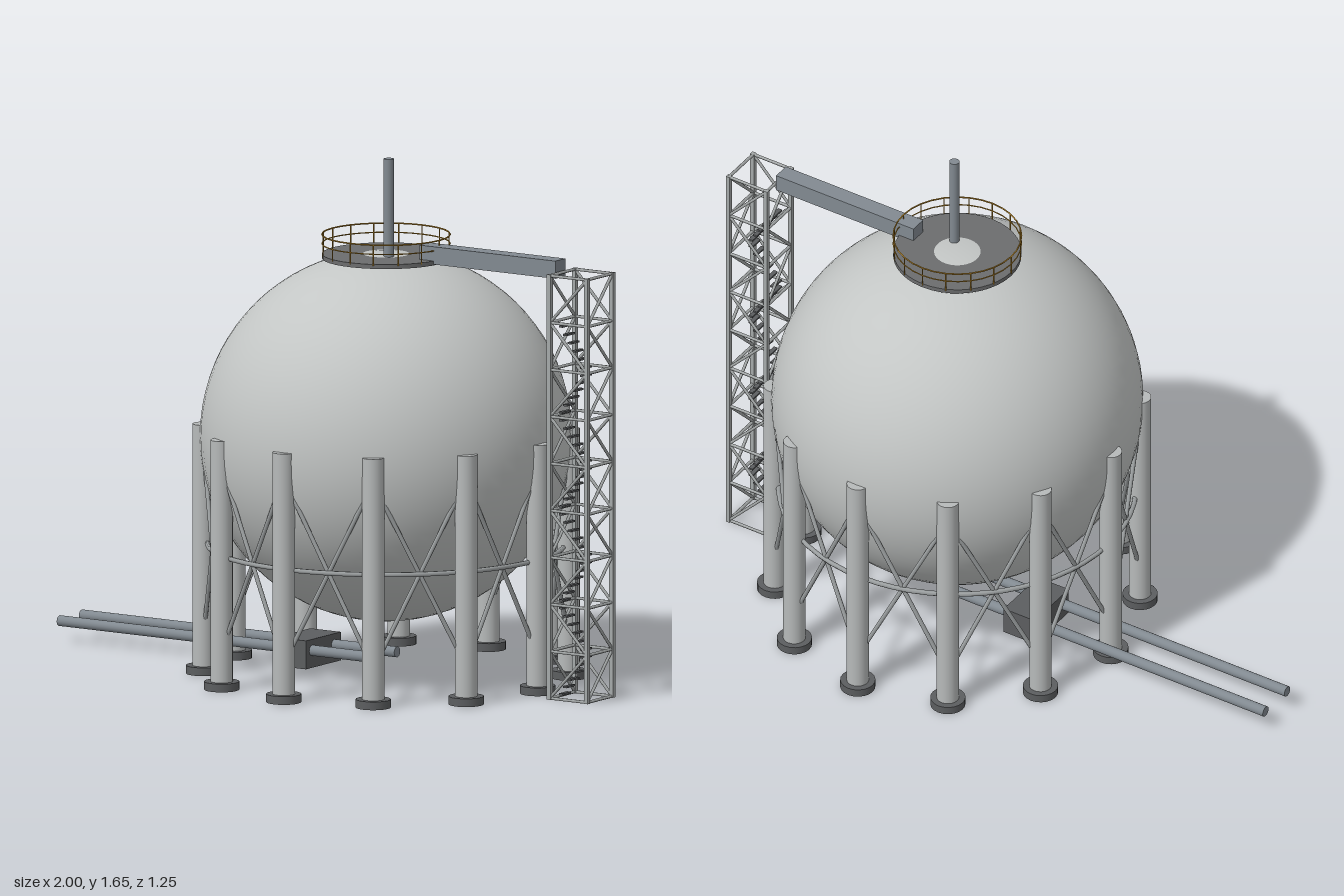
import * as THREE from 'three';

const mat = (name, color) => Object.assign(new THREE.MeshStandardMaterial({ color }), { name });
const V = (x, y, z) => new THREE.Vector3(x, y, z);

export function createModel() {
  const root = new THREE.Group();
  root.name = 'sphericalStorageTank';
  const shell = mat('pale shell grey', 0xc3c6c5);
  const steel = mat('leg grey', 0xb7baba);
  const brace = mat('brace grey', 0x9da1a2);
  const lattice = mat('lattice grey', 0xa6aaaa);
  const pipeMat = mat('pipe blue grey', 0x828a91);
  const concrete = mat('dark footing grey', 0x5c5e60);
  const deckMat = mat('deck grey', 0x6c6d6e);
  const railMat = mat('rail ochre', 0xb5862a);

  const CX = 0.185, CY = 0.76, R = 0.58, LEG_R = 0.57;

  const group = (name, parent = root) => {
    const g = new THREE.Group();
    g.name = name;
    parent.add(g);
    return g;
  };
  const add = (parent, name, geo, material, x = 0, y = 0, z = 0) => {
    const m = new THREE.Mesh(geo, material);
    m.name = name;
    m.position.set(x, y, z);
    parent.add(m);
    return m;
  };
  // Round rod between two points
  const rod = (parent, name, a, b, r, material, sides = 8) => {
    const d = b.clone().sub(a);
    const m = add(parent, name, new THREE.CylinderGeometry(r, r, d.length(), sides), material);
    m.position.copy(a).add(b).multiplyScalar(0.5);
    m.quaternion.setFromUnitVectors(V(0, 1, 0), d.normalize());
    return m;
  };
  // Horizontal ring around the tank axis
  const ring = (parent, name, r, tube, y, material, segments) => {
    const m = add(parent, name, new THREE.TorusGeometry(r, tube, 6, segments), material, CX, y, 0);
    m.rotation.x = Math.PI / 2;
    return m;
  };
  const around = (i, n, r, y) => {
    const a = (i / n) * Math.PI * 2;
    return V(CX + r * Math.cos(a), y, r * Math.sin(a));
  };

  // Pressure sphere
  add(root, 'tankSphere', new THREE.SphereGeometry(R, 64, 40), shell, CX, CY, 0);

  // Twelve legs with footings and crossed braces
  const legs = group('legs');
  for (let i = 0; i < 12; i++) {
    const p = around(i, 12, LEG_R, 0);
    add(legs, 'leg', new THREE.CylinderGeometry(0.035, 0.035, 0.79, 20), steel, p.x, 0.395, p.z);
    add(legs, 'footing', new THREE.CylinderGeometry(0.055, 0.055, 0.026, 20), concrete, p.x, 0.013, p.z);
    for (const [y0, y1] of [[0.12, 0.71], [0.71, 0.12]]) {
      rod(legs, 'crossBrace', around(i, 12, LEG_R, y0), around(i + 1, 12, LEG_R, y1), 0.007, brace);
    }
  }
  ring(legs, 'braceRing', 0.557, 0.008, 0.417, brace, 60);

  // Crown deck with handrail
  const crown = group('crownDeck');
  add(crown, 'deck', new THREE.CylinderGeometry(0.2, 0.2, 0.014, 40), deckMat, CX, 1.328, 0);
  ring(crown, 'topRail', 0.2, 0.0025, 1.396, railMat, 32);
  ring(crown, 'midRail', 0.2, 0.002, 1.367, railMat, 32);
  for (let i = 0; i < 16; i++) {
    rod(crown, 'railPost', around(i, 16, 0.2, 1.33), around(i, 16, 0.2, 1.396), 0.002, railMat, 6);
  }

  // Vent stack
  rod(root, 'ventStack', V(0.222, 1.32, 0.04), V(0.222, 1.645, 0.04), 0.016, pipeMat, 16);

  // Walkway from the deck to the stair tower
  add(root, 'walkway', new THREE.BoxGeometry(0.51, 0.056, 0.056), pipeMat, 0.585, 1.352, 0);

  // Lattice stair tower
  const tower = group('stairTower');
  const TX = 0.918, H = 0.07, BAYS = 9, BAY = 1.337 / BAYS;
  const corners = [[-H, H], [H, H], [H, -H], [-H, -H]];
  corners.forEach(([x, z], i) => {
    const [x2, z2] = corners[(i + 1) % 4];
    add(tower, 'towerPost', new THREE.BoxGeometry(0.014, 1.345, 0.014), lattice, TX + x, 0.6725, z);
    for (let b = 0; b <= BAYS; b++) {
      const y = 0.004 + b * BAY;
      rod(tower, 'towerBeam', V(TX + x, y, z), V(TX + x2, y, z2), 0.005, lattice, 6);
      if (b === BAYS) continue;
      const up = b % 2 ? BAY : 0;
      rod(tower, 'towerDiagonal', V(TX + x, y + up, z), V(TX + x2, y + BAY - up, z2), 0.005, lattice, 6);
    }
  });

  // Zigzag stair flights inside the tower
  const stairs = group('stairs', tower);
  for (let b = 0; b < 8; b++) {
    for (let s = 0; s < 6; s++) {
      const t = (s + 0.5) / 6 - 0.5;
      add(stairs, 'tread', new THREE.BoxGeometry(0.014, 0.006, 0.046), concrete,
        TX + (b % 2 ? -1 : 1) * t * 0.096, 0.004 + (b + t + 0.5) * BAY, 0.031);
    }
  }

  // Twin pipelines running through a valve block
  const pipes = group('pipelines');
  for (const z of [-0.062, 0.062]) {
    rod(pipes, 'pipeline', V(-1, 0.065, z), V(CX, 0.065, z), 0.017, pipeMat, 16);
  }
  add(pipes, 'valveBlock', new THREE.BoxGeometry(0.115, 0.09, 0.195), concrete, -0.108, 0.055, 0);

  return root;
}
